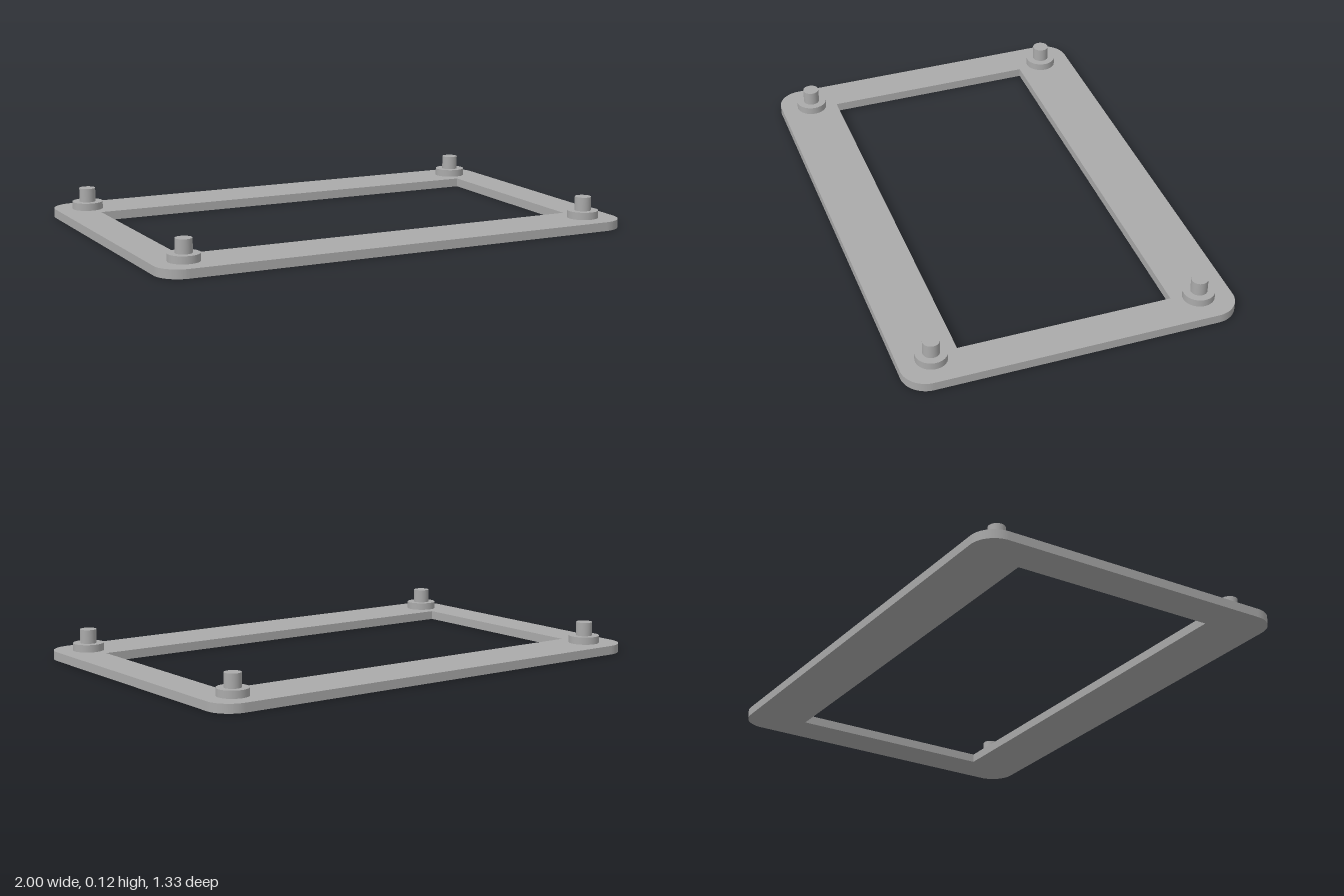
import * as THREE from 'three';

const PLATE_HEIGHT = 0.036;

// Rounded rectangle outline, centred on the origin
function roundedRect(halfW, halfD, r) {
  const s = new THREE.Shape();
  s.moveTo(halfW, -halfD + r);
  s.lineTo(halfW, halfD - r);
  s.absarc(halfW - r, halfD - r, r, 0, Math.PI / 2);
  s.absarc(-halfW + r, halfD - r, r, Math.PI / 2, Math.PI);
  s.absarc(-halfW + r, -halfD + r, r, Math.PI, Math.PI * 1.5);
  s.absarc(halfW - r, -halfD + r, r, Math.PI * 1.5, Math.PI * 2);
  return s;
}

// Upright cylinder standing on y = bottom
function post(name, radius, bottom, top, material) {
  const mesh = new THREE.Mesh(new THREE.CylinderGeometry(radius, radius, top - bottom, 48), material);
  mesh.name = name;
  mesh.position.y = (bottom + top) / 2;
  return mesh;
}

export function createModel() {
  const model = new THREE.Group();
  model.name = 'mountingFrame';
  const grey = new THREE.MeshStandardMaterial({ color: 0xaaaaaa });
  grey.name = 'grey';

  // Flat frame with rounded corners and a rectangular window
  const outline = roundedRect(1, 0.667, 0.1);
  const hx = 0.848, hz = 0.43;
  outline.holes.push(new THREE.Path([
    new THREE.Vector2(-hx, -hz), new THREE.Vector2(-hx, hz),
    new THREE.Vector2(hx, hz), new THREE.Vector2(hx, -hz),
  ]));
  const plate = new THREE.ExtrudeGeometry(outline, { depth: PLATE_HEIGHT, bevelEnabled: false, curveSegments: 16 });
  plate.rotateX(-Math.PI / 2);
  const frame = new THREE.Mesh(plate, grey);
  frame.name = 'frame';
  model.add(frame);

  // A stepped locating peg at each corner
  for (const sx of [-1, 1]) {
    for (const sz of [-1, 1]) {
      const standoff = new THREE.Group();
      standoff.name = (sz > 0 ? 'front' : 'back') + (sx > 0 ? 'Left' : 'Right') + 'Standoff';
      standoff.position.set(sx * 0.87, 0, sz * 0.537);
      standoff.add(post('collar', 0.0625, PLATE_HEIGHT, 0.066, grey));
      standoff.add(post('peg', 0.033, 0.066, 0.122, grey));
      model.add(standoff);
    }
  }
  return model;
}
